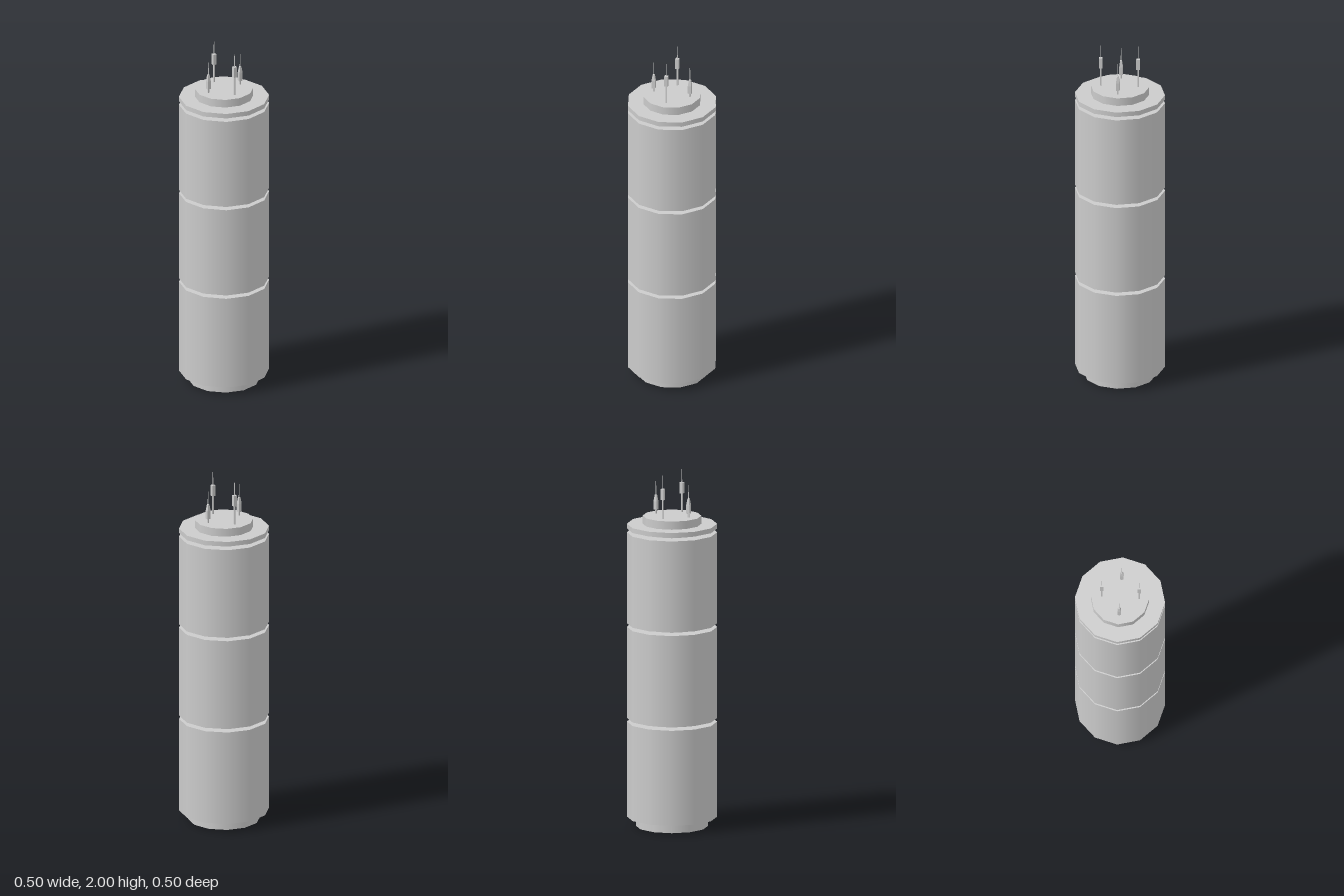
import * as THREE from 'three';

const grey = new THREE.MeshStandardMaterial({ color: 0xcccccc });
const greyOpen = new THREE.MeshStandardMaterial({ color: 0xcccccc, side: THREE.DoubleSide });
const greyFlat = new THREE.MeshStandardMaterial({ color: 0xcccccc, flatShading: true });

// Upright twelve-sided drum between two heights
function drum(name, radius, y0, y1, open = false) {
  const geometry = new THREE.CylinderGeometry(radius, radius, y1 - y0, 12, 1, open);
  const mesh = new THREE.Mesh(geometry, open ? greyOpen : grey);
  mesh.name = name;
  mesh.position.y = (y0 + y1) / 2;
  return mesh;
}

// Square-section aerial from a [half width, height] profile
function aerial(name, profile, x, z) {
  const points = profile.map(([w, y]) => new THREE.Vector2(w * Math.SQRT2, y));
  const geometry = new THREE.LatheGeometry(points, 4);
  geometry.rotateY(Math.PI / 4);
  const mesh = new THREE.Mesh(geometry, greyFlat);
  mesh.name = name;
  mesh.position.set(x, 0, z);
  return mesh;
}

export function createModel() {
  const model = new THREE.Group();
  model.name = 'segmentedTower';

  // Hollow foot, open underneath
  model.add(drum('foot', 0.2, 0, 0.055, true));

  // Three stacked body sections
  [[0.052, 0.59], [0.61, 1.126], [1.146, 1.661]].forEach(([y0, y1], i) =>
    model.add(drum('bodySection' + (i + 1), 0.25, y0, y1)));

  // Recessed necks between the sections, and the raised cap
  model.add(drum('lowerNeck', 0.162, 0.585, 0.615));
  model.add(drum('upperNeck', 0.162, 1.12, 1.15));
  model.add(drum('topCap', 0.162, 1.655, 1.755));

  // Thin flange under the cap
  model.add(drum('flange', 0.25, 1.682, 1.709));

  // Aerials: tall with a box near the tip, short with a tapered bulb
  const tall = [[0.004, 1.75], [0.004, 1.862], [0.01, 1.862], [0.01, 1.924],
    [0.002, 1.924], [0.001, 2]];
  const short = [[0.004, 1.75], [0.004, 1.776], [0.01, 1.778], [0.01, 1.825],
    [0.005, 1.862], [0.002, 1.864], [0.001, 1.938]];
  for (const s of [-1, 1]) {
    model.add(aerial(s > 0 ? 'frontTallAerial' : 'backTallAerial', tall, 0, s * 0.104 + 0.003));
    model.add(aerial(s > 0 ? 'leftShortAerial' : 'rightShortAerial', short, s * 0.105, 0.003));
  }
  return model;
}
